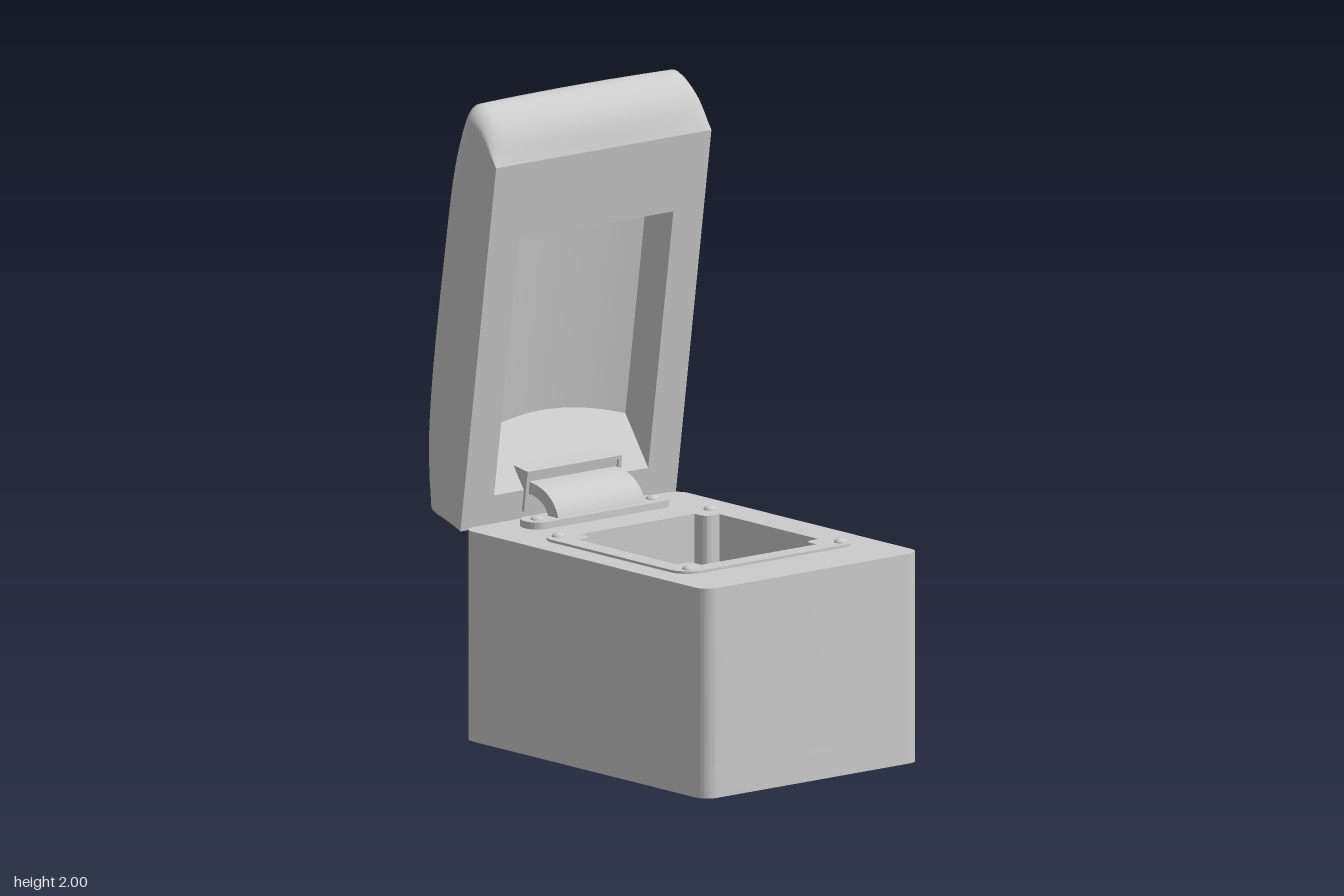
import * as THREE from 'three';
import { toCreasedNormals } from 'three/addons/utils/BufferGeometryUtils.js';

const grey = new THREE.MeshStandardMaterial({ color: 0xcccccc, side: THREE.DoubleSide });

function add(parent, name, geometry, x = 0, y = 0, z = 0) {
  const mesh = new THREE.Mesh(geometry, grey);
  mesh.name = name;
  mesh.position.set(x, y, z);
  parent.add(mesh);
  return mesh;
}

// Rounded rectangle in plan (shape y is -z)
function roundRect(x0, x1, y0, y1, r) {
  const s = new THREE.Shape();
  s.absarc(x1 - r, y0 + r, r, -Math.PI / 2, 0);
  s.absarc(x1 - r, y1 - r, r, 0, Math.PI / 2);
  s.absarc(x0 + r, y1 - r, r, Math.PI / 2, Math.PI);
  s.absarc(x0 + r, y0 + r, r, Math.PI, Math.PI * 1.5);
  s.closePath();
  return s;
}

// Upright extrusion of a plan shape
function slab(shape, height) {
  const g = new THREE.ExtrudeGeometry(shape, { depth: height, bevelEnabled: false, curveSegments: 10 });
  return toCreasedNormals(g.rotateX(-Math.PI / 2), 0.6);
}

// Compartment outline with a rounded boss in each corner
function pocketPath() {
  const p = new THREE.Path(), n = 0.055, r = 0.03;
  const corners = [[0.43, -0.285, 1, -1], [0.43, 0.285, 1, 1], [-0.15, 0.285, -1, 1], [-0.15, -0.285, -1, -1]];
  corners.forEach(([x, y, sx, sy], i) => {
    const a = [[x, y - sy * n], [x - sx * (n - r), y - sy * n]];
    const b = [[x - sx * n, y - sy * (n - r)], [x - sx * n, y]];
    const seq = i % 2 ? [...a, ...b] : [...b.reverse(), ...a.reverse()];
    if (i === 0) p.moveTo(...seq[0]); else p.lineTo(...seq[0]);
    p.lineTo(...seq[1]);
    p.quadraticCurveTo(x - sx * n, y - sy * n, ...seq[2]);
    p.lineTo(...seq[3]);
  });
  p.closePath();
  return p;
}

// Skin over equal-length rows of points
function skin(rows, flip, crease) {
  const n = rows[0].length, idx = [];
  for (let i = 0; i < rows.length - 1; i++) {
    for (let j = 0; j < n - 1; j++) {
      const a = i * n + j, b = a + n, c = a + 1, d = b + 1;
      idx.push(...(flip ? [a, c, b, b, c, d] : [a, b, c, b, d, c]));
    }
  }
  const g = new THREE.BufferGeometry();
  g.setAttribute('position', new THREE.Float32BufferAttribute(rows.flat(2), 3));
  g.setIndex(idx);
  g.computeVertexNormals();
  return toCreasedNormals(g, crease);
}

const flat = (row) => new THREE.ShapeGeometry(new THREE.Shape(row.map(([x, y]) => new THREE.Vector2(x, y))));

function buildLid() {
  const lid = new THREE.Group();
  lid.name = 'lid';
  const W = 0.433, edge = 0.06, length = 1.183;
  const profile = new THREE.CatmullRomCurve3([
    [0, 0], [-0.09, 0], [-0.165, 0.006], [-0.213, 0.06], [-0.245, 0.19], [-0.261, 0.36], [-0.264, 0.77],
    [-0.249, 1.157], [-0.21, 1.3], [-0.165, 1.338], [-0.113, 1.33], [-0.044, 1.277], [0, length],
  ].map(([x, y]) => new THREE.Vector3(x, y, 0)), false, 'centripetal');

  // Outer shell: side profile swept across, crowned and rounded at both sides
  const rows = [];
  for (let i = 0; i <= 44; i++) {
    const z = W * Math.sin((i / 44 - 0.5) * Math.PI);
    const k = Math.max(0, Math.abs(z) - (W - edge));
    const round = edge - Math.sqrt(Math.max(0, edge * edge - k * k));
    const row = [];
    for (let j = 0; j <= 70; j++) {
      const s = j / 70, p = profile.getPointAt(s), t = profile.getTangentAt(s);
      const weight = Math.min(1, s * 8, (1 - s) * 8);
      const inset = weight * (round + 0.03 * (z / W) ** 2 * t.y * t.y);
      row.push([p.x + t.y * inset, p.y - t.x * inset, z]);
    }
    rows.push(row);
  }
  add(lid, 'lidShell', skin(rows, false, 0.9));
  for (const z of [-W, W]) add(lid, 'lidSide', flat(rows[0]), 0, 0, z);

  // Inner face with the opening of the recess
  const R = 0.31, y0 = 0.1, y1 = 0.935;
  const face = new THREE.Shape([[-W, 0], [W, 0], [W, length], [-W, length]].map((p) => new THREE.Vector2(...p)));
  face.holes.push(new THREE.Path([[-R, y0], [-R, y1], [R, y1], [R, y0]].map((p) => new THREE.Vector2(...p))));
  add(lid, 'lidInnerFace', new THREE.ShapeGeometry(face).rotateY(Math.PI / 2));

  // Recess with a sloped lower end and a curved floor
  const hollow = [];
  for (let i = 0; i <= 16; i++) {
    const z = R * (i / 8 - 1), d = 0.13 + 0.04 * (1 - (z / R) ** 2);
    hollow.push([[0, y0, z], [-d, y0 + d * 1.05, z], [-d, y1, z], [0, y1, z]]);
  }
  add(lid, 'recess', skin(hollow, true, 0.5));
  for (const z of [-R, R]) add(lid, 'recessSide', flat(hollow[0]), 0, 0, z);

  // Hinge housing: block with a raised rim
  add(lid, 'hingeBlock', new THREE.BoxGeometry(0.13, 0.11, 0.36), -0.063, 0.095, 0);
  add(lid, 'hingeRim', new THREE.BoxGeometry(0.14, 0.012, 0.38), -0.06, 0.156, 0);
  for (const s of [-1, 1]) add(lid, 'hingeCheek', new THREE.BoxGeometry(0.14, 0.13, 0.012), -0.06, 0.097, s * 0.184);

  lid.position.set(-0.48, 0.65, 0);
  lid.rotation.z = -Math.atan2(0.17, 1.17);
  return lid;
}

function buildBase() {
  const base = new THREE.Group();
  base.name = 'base';
  const body = () => roundRect(-0.47, 0.69, -0.435, 0.435, 0.05);
  add(base, 'bottom', slab(body(), 0.1));
  const wall = body();
  wall.holes.push(pocketPath());
  add(base, 'walls', slab(wall, 0.56), 0, 0.1, 0);

  // Raised rim round the compartment with its screws
  const rim = roundRect(-0.212, 0.493, -0.35, 0.355, 0.07);
  rim.holes.push(pocketPath());
  add(base, 'rim', slab(rim, 0.008), 0, 0.66, 0);
  const dome = new THREE.SphereGeometry(0.02, 20, 8, 0, Math.PI * 2, 0, Math.PI / 2).scale(1, 0.7, 1);
  for (const x of [-0.17, 0.452]) for (const z of [-0.308, 0.302]) add(base, 'screw', dome, x, 0.667, z);

  // Step inside the compartment with a control panel
  add(base, 'step', new THREE.BoxGeometry(0.235, 0.37, 0.575), 0.3175, 0.28, 0);
  add(base, 'panel', new THREE.BoxGeometry(0.115, 0.03, 0.43), 0.312, 0.475, 0.015);
  add(base, 'button', new THREE.CylinderGeometry(0.028, 0.028, 0.015, 28), 0.31, 0.495, -0.04);
  for (const s of [-1, 1]) {
    add(base, 'indicator', new THREE.CylinderGeometry(0.003, 0.003, 0.004, 8), 0.31 + s * 0.01, 0.491, -0.09);
    add(base, 'sliderRail', new THREE.BoxGeometry(0.005, 0.016, 0.18), 0.31 + s * 0.021, 0.496, 0.093);
    add(base, 'sliderEnd', new THREE.BoxGeometry(0.047, 0.016, 0.005), 0.31, 0.496, 0.093 + s * 0.088);
  }
  for (const z of [0.148, 0.163]) add(base, 'sliderGrip', new THREE.BoxGeometry(0.038, 0.012, 0.006), 0.31, 0.494, z);
  return base;
}

function buildHinge() {
  const hinge = new THREE.Group();
  hinge.name = 'hinge';
  // Curved strap from the lid down to the foot
  const strap = new THREE.Shape();
  strap.moveTo(-0.48, 0.775);
  strap.bezierCurveTo(-0.41, 0.775, -0.335, 0.75, -0.318, 0.675);
  strap.lineTo(-0.365, 0.675);
  strap.bezierCurveTo(-0.38, 0.72, -0.42, 0.737, -0.48, 0.737);
  strap.closePath();
  const g = new THREE.ExtrudeGeometry(strap, { depth: 0.35, bevelEnabled: false, curveSegments: 16 });
  add(hinge, 'strap', toCreasedNormals(g, 0.6), 0, 0, -0.175);
  // Foot plate with a screw at each end
  add(hinge, 'foot', slab(roundRect(-0.405, -0.302, -0.28, 0.28, 0.045), 0.022), 0, 0.66, 0);
  for (const s of [-1, 1]) {
    const dome = new THREE.SphereGeometry(0.021, 20, 8, 0, Math.PI * 2, 0, Math.PI / 2).scale(1, 0.6, 1);
    add(hinge, 'footScrew', dome, -0.353, 0.681, s * 0.232);
  }
  return hinge;
}

export function createModel() {
  const model = new THREE.Group();
  model.name = 'hingedBox';
  model.add(buildBase(), buildLid(), buildHinge());
  return model;
}
